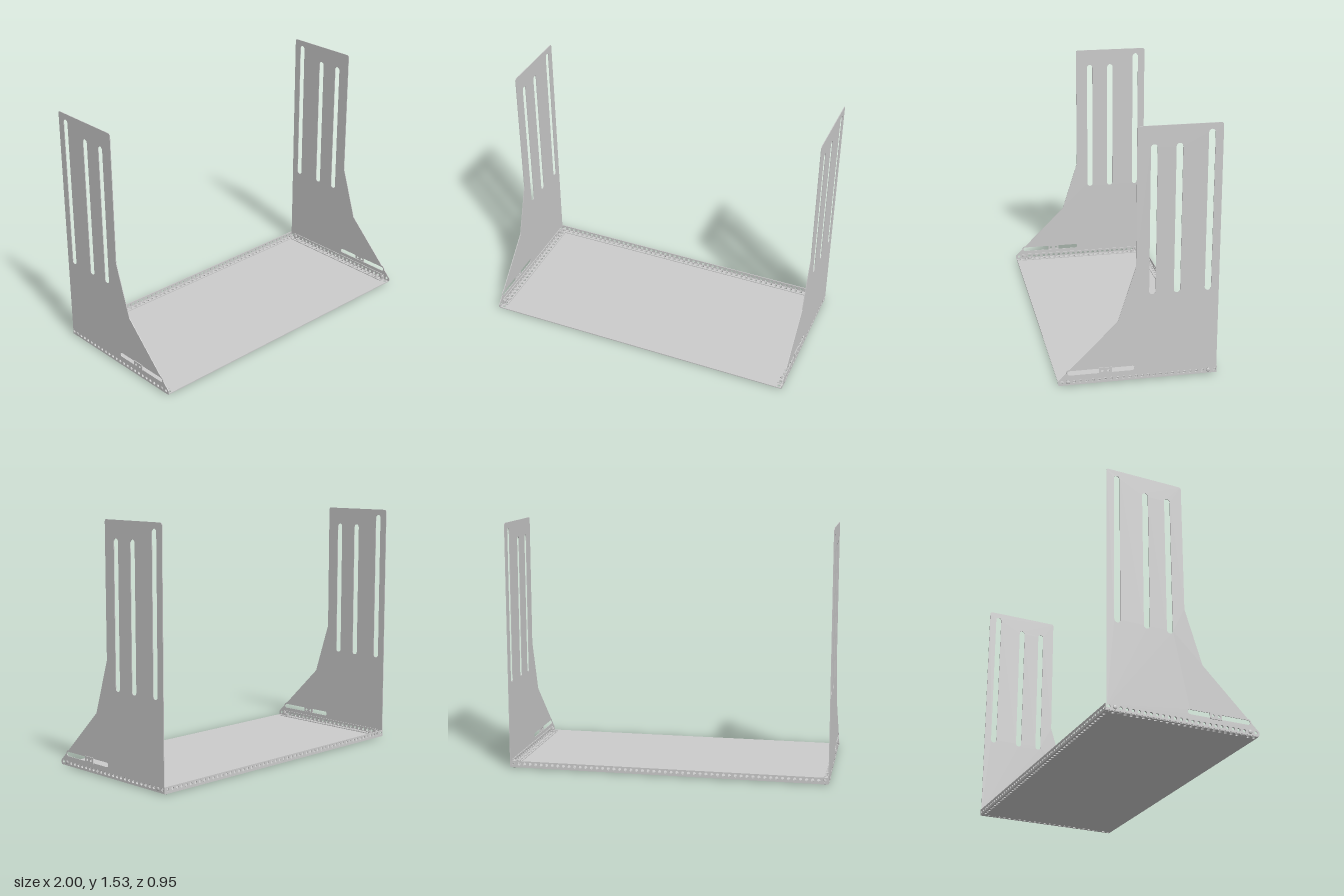
import * as THREE from 'three';

const material = new THREE.MeshStandardMaterial({ color: 0xcccccc, side: THREE.DoubleSide });
const PITCH = 0.0359, HOLE = 0.0098;
const T = 0.005;               // sheet thickness
const HOLE_Y = 0.028;          // hole row in the upright flanges
const ROW_X = 0.9695, ROW_Z = -0.457; // hole rows in the flat flanges
const BASE_TOP = 0.011;

// Evenly pitched positions, symmetric about the middle
const rowX = Array.from({ length: 55 }, (_, i) => (i - 27) * PITCH);
const rowZ = Array.from({ length: 26 }, (_, i) => ROW_Z + i * 0.0362);

function rect(x0, y0, x1, y1) {
  return new THREE.Shape([[x0, y0], [x1, y0], [x1, y1], [x0, y1]].map(p => new THREE.Vector2(...p)));
}

function punch(shape, x, y, r = HOLE) {
  shape.holes.push(new THREE.Path().absarc(x, y, r, 0, Math.PI * 2, true));
}

// Round-ended slot, upright or level
function slot(shape, x0, y0, x1, y1) {
  const p = new THREE.Path();
  if (y1 - y0 > x1 - x0) {
    const r = (x1 - x0) / 2, c = (x0 + x1) / 2;
    p.absarc(c, y1 - r, r, 0, Math.PI, false);
    p.absarc(c, y0 + r, r, Math.PI, Math.PI * 2, false);
  } else {
    const r = (y1 - y0) / 2, c = (y0 + y1) / 2;
    p.absarc(x1 - r, c, r, -Math.PI / 2, Math.PI / 2, false);
    p.absarc(x0 + r, c, r, Math.PI / 2, Math.PI * 1.5, false);
  }
  p.closePath();
  shape.holes.push(p);
}

function sheet(shape, depth = T) {
  return new THREE.ExtrudeGeometry(shape, { depth, bevelEnabled: false, curveSegments: 6 });
}
// Shape axes (x, z), top face at height y
const flat = (shape, y, d) => sheet(shape, d).rotateX(Math.PI / 2).translate(0, y, 0);
// Shape axes (z, y), centred on x
const upright = (shape, x, d = T) => sheet(shape, d).rotateY(-Math.PI / 2).translate(x + d / 2, 0, 0);

function add(group, name, geometry) {
  const mesh = new THREE.Mesh(geometry, material);
  mesh.name = name;
  group.add(mesh);
  return mesh;
}

// Button-head bolt with hex nut; the head points to local -y, bearing face at y = 0
function bolt(name, grip) {
  const g = new THREE.Group();
  g.name = name;
  const profile = [[0, -0.006], [0.007, -0.006], [0.012, -0.003], [0.0125, 0], [0, 0]];
  add(g, 'boltHead', new THREE.LatheGeometry(profile.map(p => new THREE.Vector2(...p)).reverse(), 16));
  add(g, 'boltShank', new THREE.CylinderGeometry(0.0085, 0.0085, grip + 0.013, 12).translate(0, (grip + 0.013) / 2, 0));
  add(g, 'nut', new THREE.CylinderGeometry(0.0145, 0.0145, 0.009, 6).translate(0, grip + 0.0045, 0));
  return g;
}

function sidePlateShape() {
  const s = new THREE.Shape();
  s.moveTo(-0.47, 0.008);
  s.lineTo(0.465, 0.008);
  s.quadraticCurveTo(0.472, 0.012, 0.472, 0.033);
  s.lineTo(0.465, 0.04);
  s.lineTo(0.422, 0.082);
  s.absarc(0.4, 0.082, 0.022, 0, Math.PI / 2, false); // lobe round the slot end
  s.lineTo(0.122, 0.38);
  s.lineTo(0.017, 0.71);
  s.lineTo(0.017, 1.515);
  s.quadraticCurveTo(0.017, 1.53, 0.002, 1.53);
  s.lineTo(-0.455, 1.53);
  s.quadraticCurveTo(-0.47, 1.53, -0.47, 1.515);
  s.closePath();
  slot(s, -0.098, 0.537, -0.06, 1.425);
  slot(s, -0.242, 0.537, -0.204, 1.425);
  slot(s, -0.424, 0.537, -0.386, 1.495);
  slot(s, 0.02, 0.068, 0.415, 0.096);
  rowZ.forEach(z => punch(s, z, HOLE_Y));
  return s;
}

export function createModel() {
  const model = new THREE.Group();
  model.name = 'perforatedStand';

  // Base sheet with hole rows along the back and both sides
  const base = rect(-0.99, -0.475, 0.99, 0.465);
  rowX.forEach(x => punch(base, x, ROW_Z));
  for (const s of [-1, 1]) rowZ.slice(1).forEach(z => punch(base, s * ROW_X, z));
  add(model, 'basePlate', flat(base, BASE_TOP, 0.006));

  // Rear angle bar
  const rear = new THREE.Group();
  rear.name = 'rearAngleBar';
  const rearFlat = rect(-0.99, -0.475, 0.99, -0.438);
  const rearUp = rect(-0.99, BASE_TOP, 0.99, 0.046);
  rowX.forEach(x => { punch(rearFlat, x, ROW_Z); punch(rearUp, x, HOLE_Y); });
  add(rear, 'flatFlange', flat(rearFlat, BASE_TOP + T));
  add(rear, 'uprightFlange', sheet(rearUp).translate(0, 0, -0.475));
  model.add(rear);

  for (const s of [-1, 1]) {
    const side = s > 0 ? 'left' : 'right';

    // Side angle bar
    const bar = new THREE.Group();
    bar.name = side + 'AngleBar';
    const xs = [s * 0.952, s * 0.988].sort((a, b) => a - b);
    const barFlat = rect(xs[0], -0.437, xs[1], 0.427);
    const barUp = rect(-0.437, BASE_TOP, 0.427, 0.046);
    rowZ.slice(1, 25).forEach(z => { punch(barFlat, s * ROW_X, z); punch(barUp, z, HOLE_Y); });
    add(bar, 'flatFlange', flat(barFlat, BASE_TOP + T));
    add(bar, 'uprightFlange', upright(barUp, s * 0.9875));
    model.add(bar);

    // Tall slotted side plate
    add(model, side + 'SidePlate', upright(sidePlateShape(), s * 0.9925, 0.004));

    // Small clip across the level slot
    const clip = rect(0.156, 0.062, 0.231, 0.102);
    [0.176, 0.212].forEach(z => punch(clip, z, 0.082, 0.008));
    add(model, side + 'SlotClip', upright(clip, s * 0.997, 0.005));

    // Bolts up through the base
    for (const z of [rowZ[0], rowZ[2], rowZ[23]]) {
      const b = bolt(side + 'BaseBolt', 0.011);
      b.position.set(s * ROW_X, 0.006, z);
      model.add(b);
    }
    // Bolts inward through the side plate
    for (const z of [rowZ[1], rowZ[24]]) {
      const b = bolt(side + 'SideBolt', 0.009);
      b.position.set(s * 0.9945, HOLE_Y, z);
      b.rotation.z = s * Math.PI / 2;
      model.add(b);
    }
  }
  return model;
}
